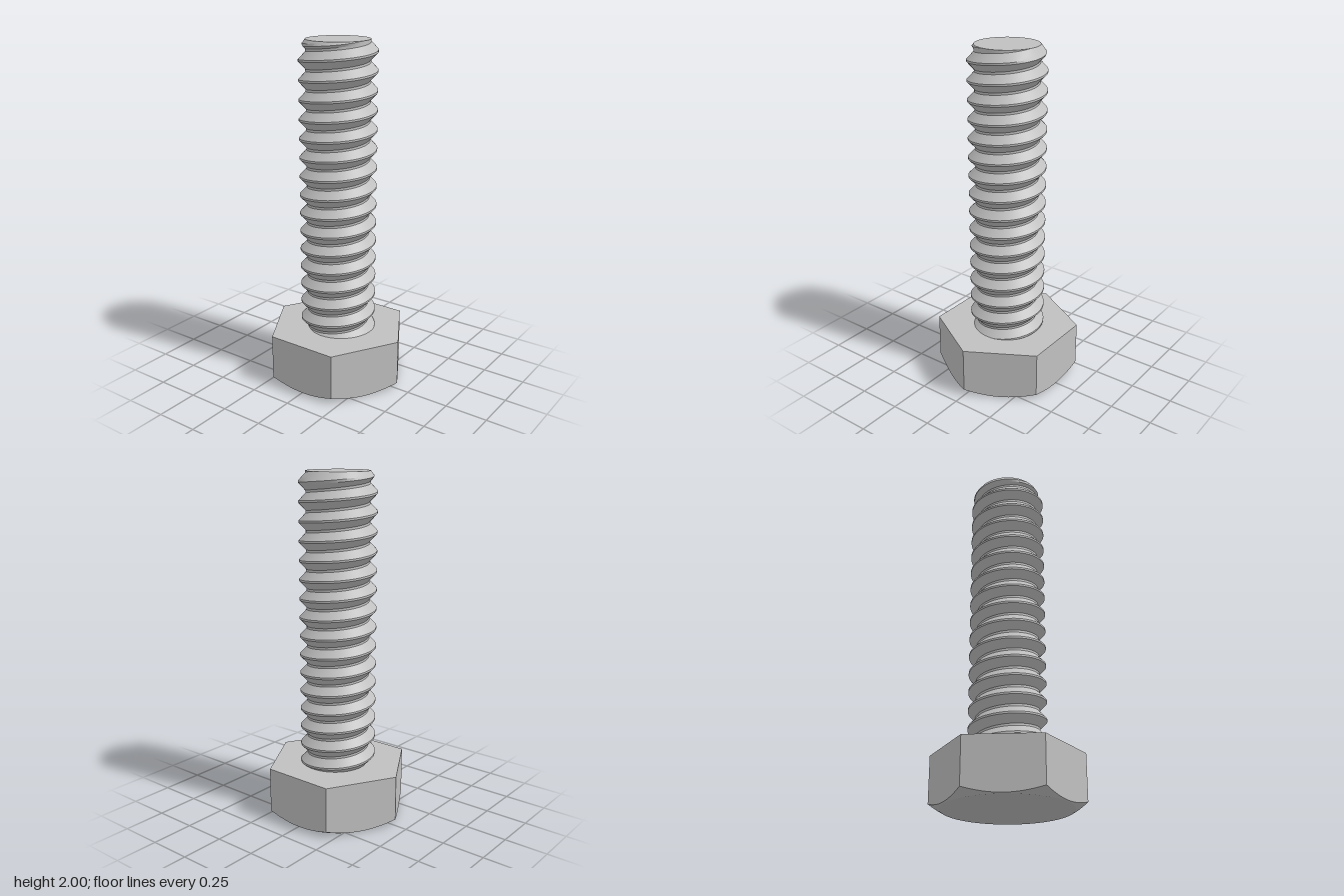
import * as THREE from 'three';
import { toCreasedNormals } from 'three/addons/utils/BufferGeometryUtils.js';

const TAU = Math.PI * 2;
const HEAD_TOP = 0.303, TOP = 2;

// Skin a sheet from fn(angle, row) -> [radius, y]; angle turns from +x towards -z
function skin(segments, rows, fn) {
  const pos = [];
  const point = (i, j) => {
    const a = (i / segments) * TAU;
    const [r, y] = fn(a, j);
    return new THREE.Vector3(r * Math.cos(a), y, -r * Math.sin(a));
  };
  const tri = (a, b, c) => {
    const area = b.clone().sub(a).cross(c.clone().sub(a)).length();
    if (area > 1e-8) for (const v of [a, b, c]) pos.push(v.x, v.y, v.z);
  };
  for (let j = 0; j < rows - 1; j++) {
    for (let i = 0; i < segments; i++) {
      const a = point(i, j), b = point(i + 1, j);
      const c = point(i + 1, j + 1), d = point(i, j + 1);
      tri(a, b, c);
      tri(a, c, d);
    }
  }
  const geo = new THREE.BufferGeometry();
  geo.setAttribute('position', new THREE.Float32BufferAttribute(pos, 3));
  return toCreasedNormals(geo, 0.4);
}

// Hexagonal head whose lower corners are cut by a cone
function headGeometry() {
  const apothem = 0.368, discRadius = 0.36, slope = 0.58;
  const hexRadius = (a) => {
    const sector = Math.PI / 3;
    const local = a - Math.round(a / sector) * sector;
    return apothem / Math.cos(local);
  };
  return skin(96, 5, (a, j) => {
    const r = hexRadius(a);
    return [
      [0, 0],
      [discRadius, 0],
      [r, (r - discRadius) * slope],
      [r, HEAD_TOP],
      [0, HEAD_TOP],
    ][j];
  });
}

// Right-handed helical thread with a conical lead-in at the tip
function threadGeometry() {
  const pitch = 0.109, crestY = 1.955, root = 0.18, crest = 0.22;
  const stops = [-0.44, -0.31, -0.18, -0.05, 0.05, 0.18, 0.31, 0.44];
  const bottom = HEAD_TOP - 0.01;
  const offsets = [];
  for (let turn = -18; turn <= 2; turn++) {
    for (const s of stops) offsets.push((turn + s) * pitch);
  }
  const radius = (a, y) => {
    const turns = (y - crestY) / pitch - a / TAU;
    const t = Math.abs(turns - Math.round(turns));
    const k = THREE.MathUtils.clamp((0.44 - t) / 0.39, 0, 1);
    return Math.min(root + (crest - root) * k, root + (TOP - y) * 0.75);
  };
  return skin(72, offsets.length, (a, j) => {
    const y = crestY + (a / TAU) * pitch + offsets[j];
    const clamped = THREE.MathUtils.clamp(y, bottom, TOP);
    return [radius(a, clamped), clamped];
  });
}

export function createModel() {
  const group = new THREE.Group();
  group.name = 'hexBolt';
  const steel = new THREE.MeshStandardMaterial({ color: 0xc0c0c0 });
  steel.name = 'steel';

  const add = (name, geometry) => {
    const mesh = new THREE.Mesh(geometry, steel);
    mesh.name = name;
    group.add(mesh);
    return mesh;
  };

  add('hexHead', headGeometry());
  add('threadedShank', threadGeometry());

  // Flat end of the shank
  const tip = add('shankTip', new THREE.CircleGeometry(0.18, 72));
  tip.rotation.x = -Math.PI / 2;
  tip.position.y = TOP;

  return group;
}
